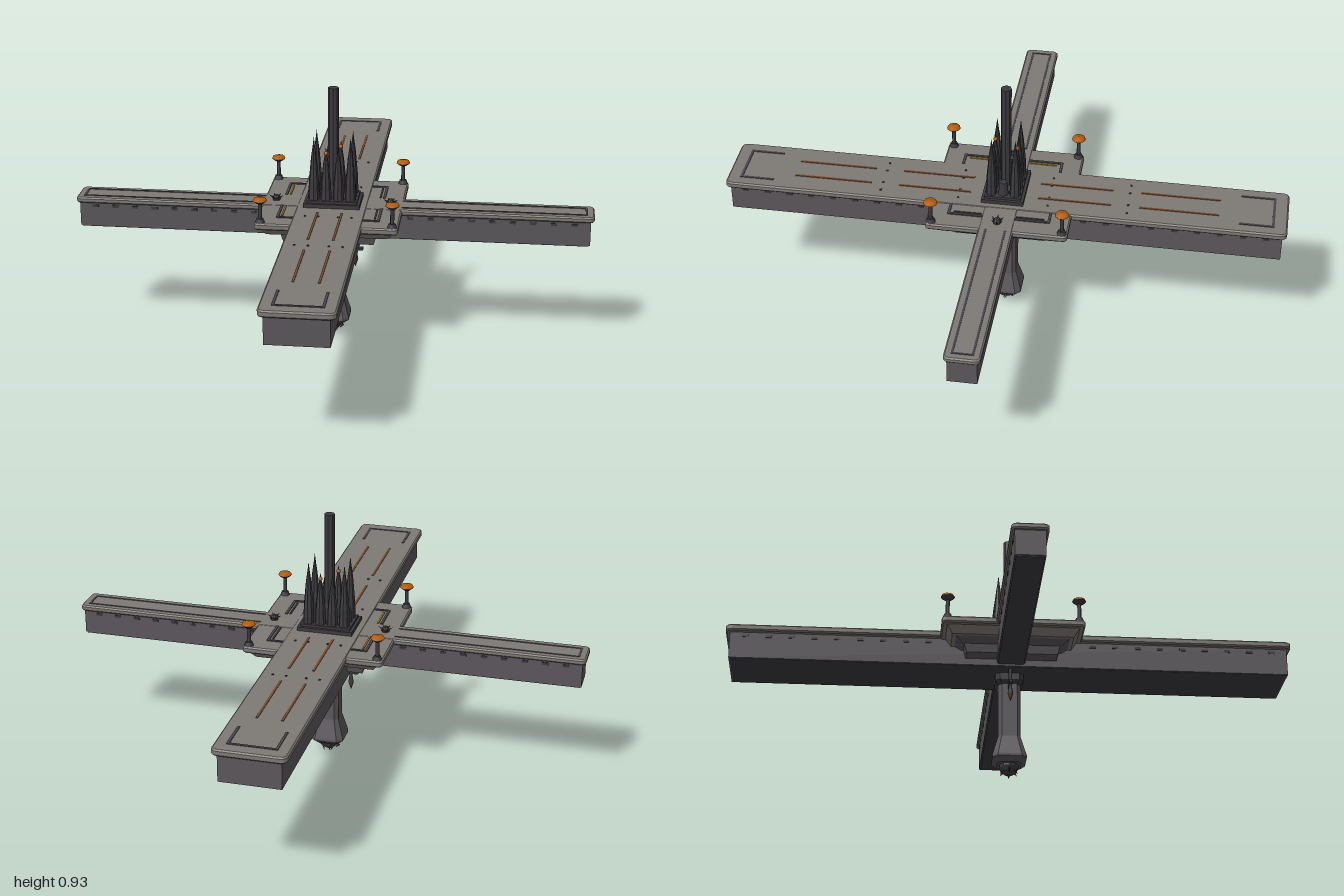
import * as THREE from 'three';

const mat = (name, color) => {
  const m = new THREE.MeshStandardMaterial({ color });
  m.name = name;
  return m;
};

export function createModel() {
  const root = new THREE.Group();
  root.name = 'crossStation';
  const deck = mat('deck grey', 0x7e7974);
  const hull = mat('hull grey', 0x5b575c);
  const dark = mat('dark metal', 0x3c3a3e);
  const groove = mat('groove grey', 0x48454a);
  const orange = mat('lamp orange', 0xb05c0c);
  const brown = mat('stripe brown', 0x76492a);
  const gold = mat('trim gold', 0x9c731c);
  const rust = mat('rust red', 0x6a3a2a);

  const add = (name, geo, m, x = 0, y = 0, z = 0, parent = root) => {
    const mesh = new THREE.Mesh(geo, m);
    mesh.name = name;
    mesh.position.set(x, y, z);
    parent.add(mesh);
    return mesh;
  };
  const box = (name, w, h, d, m, x, y, z, parent) =>
    add(name, new THREE.BoxGeometry(w, h, d), m, x, y, z, parent);
  const flat = (geo) => { const g = geo.toNonIndexed(); g.computeVertexNormals(); return g; };

  // Deck slab with rounded plan corners and bevelled rims
  const slab = (name, hw, hd, r, y0, y1) => {
    const b = 0.005, w = hw - b, d = hd - b;
    const s = new THREE.Shape();
    s.moveTo(-w + r, -d);
    s.lineTo(w - r, -d); s.quadraticCurveTo(w, -d, w, -d + r);
    s.lineTo(w, d - r); s.quadraticCurveTo(w, d, w - r, d);
    s.lineTo(-w + r, d); s.quadraticCurveTo(-w, d, -w, d - r);
    s.lineTo(-w, -d + r); s.quadraticCurveTo(-w, -d, -w + r, -d);
    const g = new THREE.ExtrudeGeometry(s, {
      depth: y1 - y0 - 2 * b, bevelSize: b, bevelThickness: b, bevelSegments: 1, curveSegments: 3,
    });
    g.rotateX(-Math.PI / 2);
    add(name, g, deck, 0, y0 + b, 0);
  };

  // Chamfered square tower built from [halfWidth, y] rings
  const tower = (rings) => {
    const pos = [], idx = [], n = 8;
    for (const [h, y] of rings) {
      const c = h * 0.68;
      for (const [x, z] of [[h, -c], [h, c], [c, h], [-c, h], [-h, c], [-h, -c], [-c, -h], [c, -h]]) pos.push(x, y, z);
    }
    for (let k = 0; k < rings.length - 1; k++) for (let i = 0; i < n; i++) {
      const a = k * n + i, b = k * n + (i + 1) % n;
      idx.push(a, a + n, b, b, a + n, b + n);
    }
    const g = new THREE.BufferGeometry();
    g.setAttribute('position', new THREE.Float32BufferAttribute(pos, 3));
    g.setIndex(idx);
    return flat(g);
  };

  // Square frustum by half widths
  const frustum = (top, bottom, h) => {
    const g = new THREE.CylinderGeometry(top * Math.SQRT2, bottom * Math.SQRT2, h, 4);
    g.rotateY(Math.PI / 4);
    return flat(g);
  };

  // Long and cross arms
  slab('longArmDeck', 0.125, 1, 0.018, 0.482, 0.506);
  slab('crossArmDeck', 0.925, 0.061, 0.014, 0.484, 0.505);
  box('longArmHull', 0.212, 0.1, 1.97, hull, 0, 0.435, 0);
  box('crossArmHull', 1.826, 0.09, 0.1, hull, 0, 0.441, 0);
  box('longArmKeel', 0.204, 0.008, 1.96, dark, 0, 0.388, 0);
  box('crossArmKeel', 1.816, 0.006, 0.092, dark, 0, 0.395, 0);

  // Stepped hub
  slab('hubDeck', 0.25, 0.25, 0.01, 0.48, 0.504);
  add('hubUpperStep', frustum(0.232, 0.212, 0.028), deck, 0, 0.467, 0);
  add('hubMiddleStep', frustum(0.2, 0.175, 0.015), hull, 0, 0.446, 0);
  add('hubLowerStep', frustum(0.168, 0.16, 0.03), hull, 0, 0.424, 0);

  // Deck markings
  const top = 0.506;
  for (const s of [-1, 1]) {
    const end = new THREE.Group();
    end.name = 'endFrame';
    root.add(end);
    box('endFrameBar', 0.168, 0.004, 0.009, groove, 0, top, s * 0.95, end);
    for (const x of [-0.08, 0.08]) box('endFrameSide', 0.009, 0.004, 0.12, groove, x, top, s * 0.892, end);

    for (const x of [-0.043, 0.043]) {
      box('innerStripe', 0.008, 0.004, 0.26, brown, x, top, s * 0.25);
      box('outerStripe', 0.008, 0.004, 0.28, brown, x, top, s * 0.62);
      for (const z of [0.16, 0.44]) for (const o of [0.82, 1.9])
        box('deckStud', 0.007, 0.006, 0.007, dark, x * o, top, s * z);
    }
    // Cross arm inset outline
    for (const z of [-0.034, 0.034]) box('crossFrameSide', 0.65, 0.004, 0.007, groove, s * 0.572, 0.505, z);
    box('crossFrameEnd', 0.007, 0.004, 0.075, groove, s * 0.897, 0.505, 0);

    // Hub corner brackets
    for (const t of [-1, 1]) {
      box('hubBracketLong', 0.009, 0.005, 0.125, groove, s * 0.177, 0.505, t * 0.118);
      box('hubBracketShort', 0.055, 0.005, 0.009, groove, s * 0.15, 0.505, t * 0.177);
      box('hubTrim', 0.006, 0.004, 0.1, s < 0 ? gold : dark, s * 0.163, 0.505, t * 0.11);
    }
  }

  // Windows below the rims
  for (const s of [-1, 1]) {
    for (let i = 0; i < 9; i++) for (const e of [-1, 1]) {
      box('longArmWindow', 0.004, 0.009, 0.022, dark, s * 0.107, 0.468, e * (0.29 + i * 0.08));
      box('crossArmWindow', 0.022, 0.009, 0.004, dark, e * (0.28 + i * 0.072), 0.472, s * 0.051);
    }
  }

  // Lamp posts on the hub corners
  const lampHead = [[0, 0.568], [0.012, 0.573], [0.025, 0.583]].map(p => new THREE.Vector2(...p));
  const lampCap = [[0.025, 0.583], [0.021, 0.591], [0, 0.595]].map(p => new THREE.Vector2(...p));
  for (const x of [-0.23, 0.23]) for (const z of [-0.23, 0.23]) {
    const lamp = new THREE.Group();
    lamp.name = 'lampPost';
    lamp.position.set(x, 0, z);
    root.add(lamp);
    add('lampBase', new THREE.CylinderGeometry(0.012, 0.018, 0.016, 8), dark, 0, 0.51, 0, lamp);
    add('lampStem', new THREE.CylinderGeometry(0.007, 0.007, 0.07, 8), dark, 0, 0.54, 0, lamp);
    add('lampBowl', new THREE.LatheGeometry(lampHead, 10), dark, 0, 0, 0, lamp);
    add('lampCap', new THREE.LatheGeometry(lampCap, 10), orange, 0, 0, 0, lamp);
  }

  // Small spiked turrets beside the hub
  for (const s of [-1, 1]) {
    const turret = new THREE.Group();
    turret.name = 'spikedTurret';
    turret.position.set(s * 0.205, 0.505, 0);
    root.add(turret);
    add('turretBody', flat(new THREE.SphereGeometry(0.015, 8, 5)), dark, 0, 0.006, 0, turret);
    for (let i = 0; i < 6; i++) {
      const a = i * Math.PI / 3;
      const spike = add('turretSpike', new THREE.ConeGeometry(0.005, 0.02, 5), dark, Math.cos(a) * 0.017, 0.012, Math.sin(a) * 0.017, turret);
      spike.rotation.set(Math.sin(a), 0, -Math.cos(a));
    }
  }

  // Spire cluster
  box('spirePlinth', 0.2, 0.016, 0.15, dark, 0, 0.512, 0);
  box('spirePlinthStep', 0.18, 0.01, 0.13, dark, 0, 0.524, 0);
  const spire = (h) => flat(new THREE.LatheGeometry(
    [[0.02, 0], [0.018, 0.3], [0.01, 0.68], [0.004, 0.86], [0, 1]].map(([r, t]) => new THREE.Vector2(r, t * h)), 8));
  for (const x of [-0.065, -0.022, 0.022, 0.065]) for (const z of [-0.042, 0.042]) {
    const outer = Math.abs(x) > 0.05;
    add('spire', spire(outer ? 0.235 : 0.2), dark, x, 0.525, z);
    if (!outer && x * z < 0) add('spireLamp', new THREE.SphereGeometry(0.008, 8, 6), orange, x, 0.7, z);
  }
  add('centralMast', flat(new THREE.CylinderGeometry(0.019, 0.019, 0.41, 8)), dark, 0, 0.725, 0);
  for (const x of [-0.065, 0.065]) add('sideSpireBase', new THREE.CylinderGeometry(0.014, 0.019, 0.06, 8), dark, x, 0.55, 0);

  // Hanging tower
  add('towerShaft', tower([[0.001, 0.05], [0.042, 0.05], [0.06, 0.066], [0.06, 0.075], [0.04, 0.148], [0.04, 0.4]]), hull);
  add('towerCollar', tower([[0.04, 0.345], [0.05, 0.36], [0.05, 0.4]]), dark);
  add('towerDome', flat(new THREE.SphereGeometry(0.036, 10, 7)), dark, 0, 0.05, 0);
  for (let i = 0; i < 6; i++) {
    const a = i * Math.PI / 3;
    const nub = add('domeSpike', new THREE.ConeGeometry(0.005, 0.02, 5), dark, Math.cos(a) * 0.029, 0.023, Math.sin(a) * 0.029);
    nub.rotation.set(Math.PI - Math.sin(a) * 0.7, 0, Math.cos(a) * 0.7);
  }
  add('domeTip', new THREE.ConeGeometry(0.007, 0.022, 6), dark, 0, 0.011, 0).rotation.x = Math.PI;

  // Hanging pins and their cross bars
  for (const s of [-1, 1]) {
    add('pinShaft', new THREE.CylinderGeometry(0.006, 0.006, 0.11, 8), dark, s * 0.08, 0.345, 0);
    add('pinBulb', new THREE.CylinderGeometry(0.006, 0.01, 0.025, 8), dark, s * 0.08, 0.302, 0);
    add('pinTip', new THREE.ConeGeometry(0.01, 0.03, 8), rust, s * 0.08, 0.275, 0).rotation.x = Math.PI;
    box('pinBar', 0.07, 0.01, 0.012, dark, s * 0.072, 0.33, 0);
  }
  return root;
}
